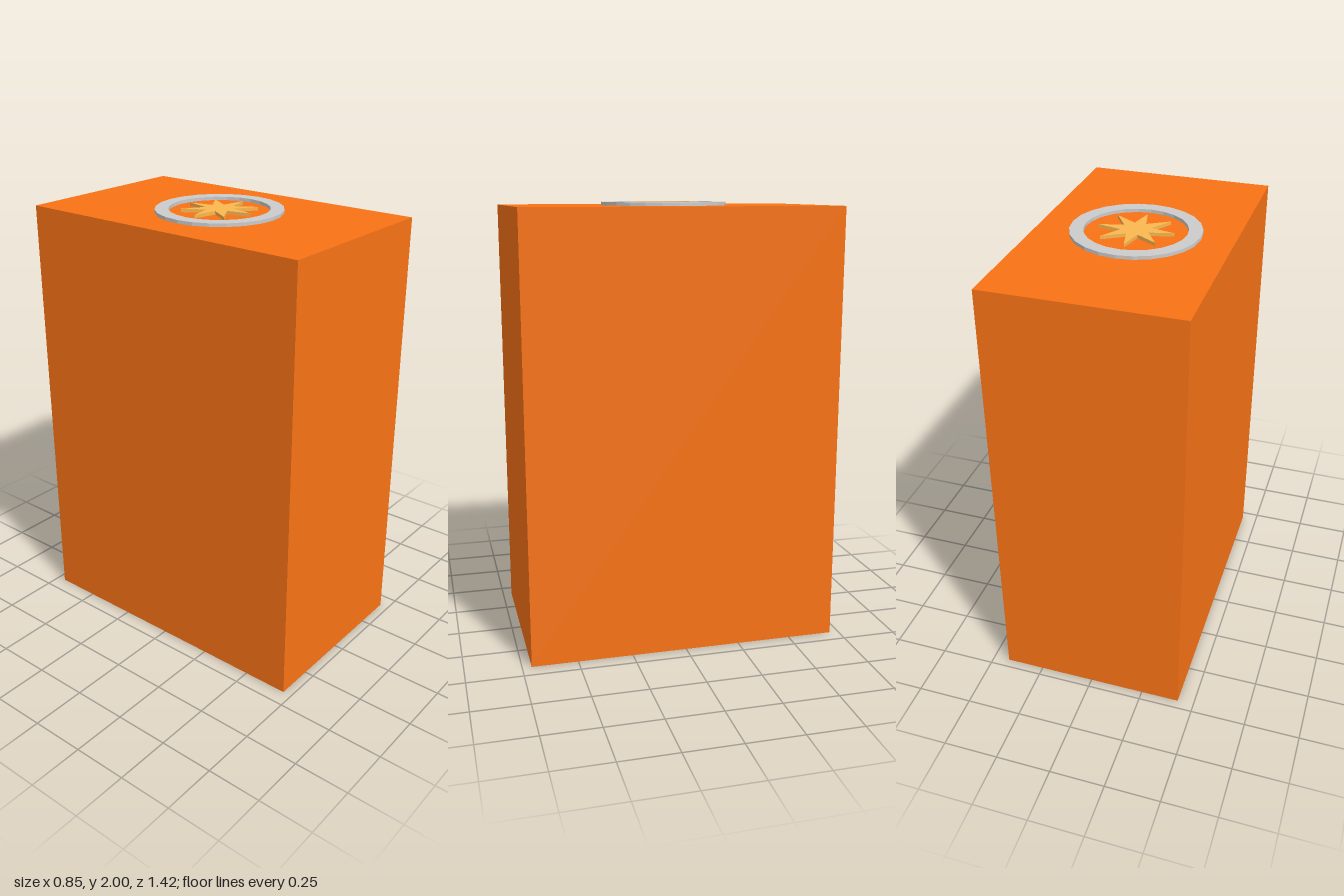
import * as THREE from 'three';

const BODY_H = 1.985, TOP = 2;

// Closed polygon whose radius alternates through the given list
function polygon(Type, count, radii) {
  const points = [];
  for (let i = 0; i < count; i++) {
    const a = (i / count) * Math.PI * 2, r = radii[i % radii.length];
    points.push(new THREE.Vector2(Math.cos(a) * r, Math.sin(a) * r));
  }
  return new Type(points);
}

// Flat plate lying on top of the body
function plate(name, shape, color) {
  const geometry = new THREE.ExtrudeGeometry(shape, { depth: TOP - BODY_H, bevelEnabled: false });
  geometry.rotateX(-Math.PI / 2);
  const mesh = new THREE.Mesh(geometry, new THREE.MeshStandardMaterial({ color, flatShading: true }));
  mesh.name = name;
  mesh.position.y = BODY_H;
  return mesh;
}

export function createModel() {
  const group = new THREE.Group();
  group.name = 'boxWithEmblem';

  // Main block
  const body = new THREE.Mesh(
    new THREE.BoxGeometry(0.85, BODY_H, 1.416),
    new THREE.MeshStandardMaterial({ color: 0xf97316 })
  );
  body.name = 'body';
  body.position.y = BODY_H / 2;
  group.add(body);

  // 24-sided ring
  const ring = polygon(THREE.Shape, 24, [0.283]);
  ring.holes.push(polygon(THREE.Path, 24, [0.223]));
  group.add(plate('topRing', ring, 0xcccccc));

  // Eight-pointed star inside the ring
  group.add(plate('topStar', polygon(THREE.Shape, 16, [0.168, 0.066]), 0xfbb850));

  return group;
}
